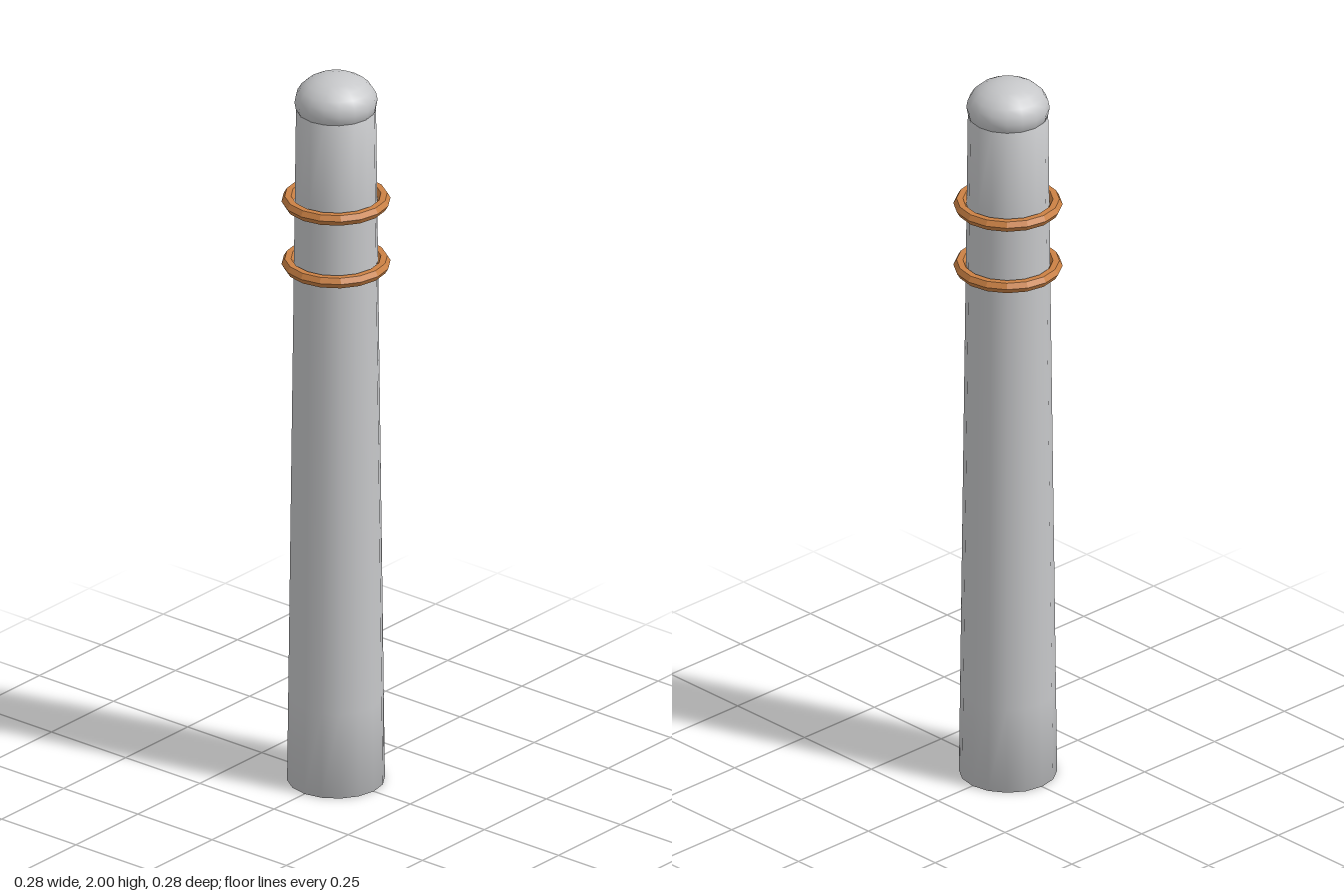
import * as THREE from 'three';
import { mergeVertices } from 'three/addons/utils/BufferGeometryUtils.js';

export function createModel() {
  const model = new THREE.Group();
  model.name = 'bollard';

  const grey = new THREE.MeshStandardMaterial({ color: 0xc6c7c9 });
  grey.name = 'light grey';
  const orange = new THREE.MeshStandardMaterial({ color: 0xcb8144 });
  orange.name = 'copper orange';

  const add = (name, geometry, material, y) => {
    const mesh = new THREE.Mesh(geometry, material);
    mesh.name = name;
    mesh.position.y = y;
    model.add(mesh);
    return mesh;
  };

  // Tapered post, welded so the shading rolls softly over the base edge
  const post = new THREE.CylinderGeometry(0.104, 0.127, 1.9, 16, 8);
  post.deleteAttribute('normal');
  post.deleteAttribute('uv');
  const welded = mergeVertices(post);
  welded.computeVertexNormals();
  add('post', welded, grey, 0.95);

  // Flattened round cap
  const cap = new THREE.SphereGeometry(0.108, 16, 12);
  cap.scale(1, 0.075 / 0.108, 1);
  add('cap', cap, grey, 1.925);

  // Two faceted bands with six-sided section
  [1.467, 1.645].forEach((y, i) => {
    const ring = new THREE.TorusGeometry(0.125, 0.0165, 6, 16).rotateX(-Math.PI / 2).toNonIndexed();
    ring.computeVertexNormals();
    add(i ? 'upperRing' : 'lowerRing', ring, orange, y);
  });

  return model;
}
